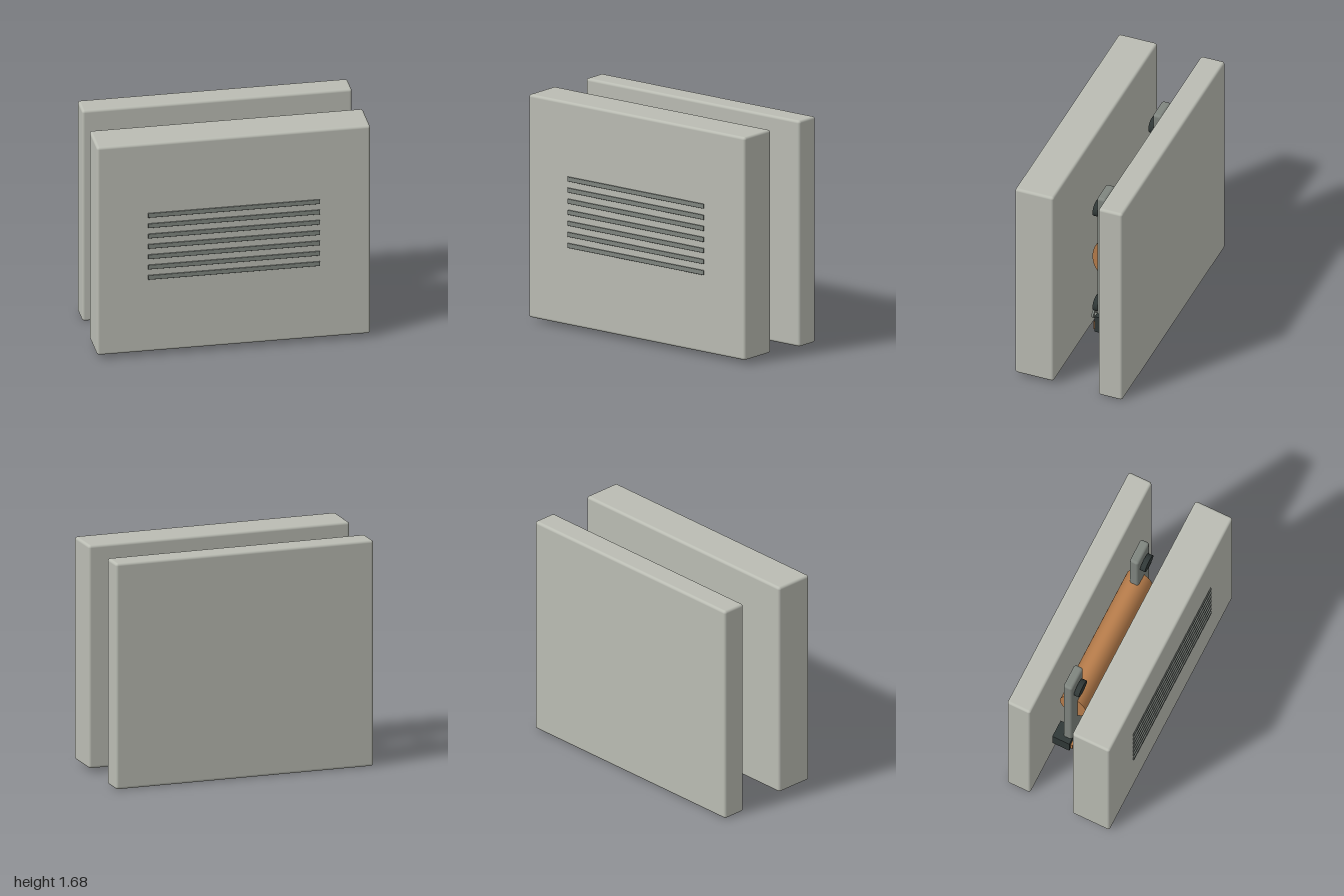
import * as THREE from 'three';
import { RoundedBoxGeometry } from 'three/addons/geometries/RoundedBoxGeometry.js';

const material = (name, color) => {
  const m = new THREE.MeshStandardMaterial({ color });
  m.name = name;
  return m;
};

export function createModel() {
  const shell = material('warmGrey', 0xbabcb3);
  const steel = material('steelGrey', 0x7f857f);
  const dark = material('darkRubber', 0x303837);
  const copper = material('copper', 0xb87d4b);
  const model = new THREE.Group();
  model.name = 'explodedDevice';

  const add = (name, geometry, mat, x, y, z) => {
    const mesh = new THREE.Mesh(geometry, mat);
    mesh.name = name;
    mesh.position.set(x, y, z);
    model.add(mesh);
    return mesh;
  };
  // rounded block given by its extents on each axis
  const block = (name, mat, [x0, x1], [y0, y1], [z0, z1], r) =>
    add(name, r ? new RoundedBoxGeometry(x1 - x0, y1 - y0, z1 - z0, 4, r)
      : new THREE.BoxGeometry(x1 - x0, y1 - y0, z1 - z0),
    mat, (x0 + x1) / 2, (y0 + y1) / 2, (z0 + z1) / 2);
  // disc or rod lying along z
  const disc = (name, mat, rx, ry, depth, x, y, z) => {
    const g = new THREE.CylinderGeometry(1, 1, depth, 32).rotateX(Math.PI / 2).scale(rx, ry, 1);
    return add(name, g, mat, x, y, z);
  };

  // outer casing halves
  block('frontCover', shell, [-1, 1], [0.03, 1.685], [0.108, 0.408], 0.02);
  block('backCover', shell, [-0.987, 0.987], [0, 1.677], [-0.42, -0.234], 0.02);

  // grille slats
  for (let i = 0; i < 7; i++) {
    const y = 0.625 + i * 0.0822;
    block('grilleSlat', steel, [-0.63, 0.63], [y - 0.018, y + 0.018], [0.412, 0.422], 0.0045);
  }

  // oval copper drum
  const drum = new THREE.CylinderGeometry(1, 1, 1.08, 64).rotateZ(Math.PI / 2).scale(1, 0.158, 0.103);
  add('copperDrum', drum, copper, 0, 0.877, -0.112);

  // mirrored side supports
  for (const s of [-1, 1]) {
    const span = (a, b) => (s > 0 ? [a, b] : [-b, -a]);
    block('sidePost', steel, span(0.44, 0.63), [0.35, 1.48], [-0.147, -0.077], 0.02);
    for (const y of [1.318, 0.465]) disc('rubberPad', dark, 0.068, 0.058, 0.04, s * 0.535, y, -0.054);
    block('terminalBlock', dark, span(0.535, 0.67), [0.305, 0.44], [-0.213, -0.077]);
    block('contactTab', copper, span(0.56, 0.65), [0.31, 0.38], [-0.082, -0.062]);
    block('contactPin', copper, span(0.58, 0.63), [0.275, 0.33], [-0.112, -0.072], 0.004);
    disc('screwShaft', steel, 0.013, 0.013, 0.05, s * 0.59, 0.4, -0.065);
    disc('screwHead', steel, 0.03, 0.03, 0.016, s * 0.59, 0.4, -0.041);
  }
  return model;
}
